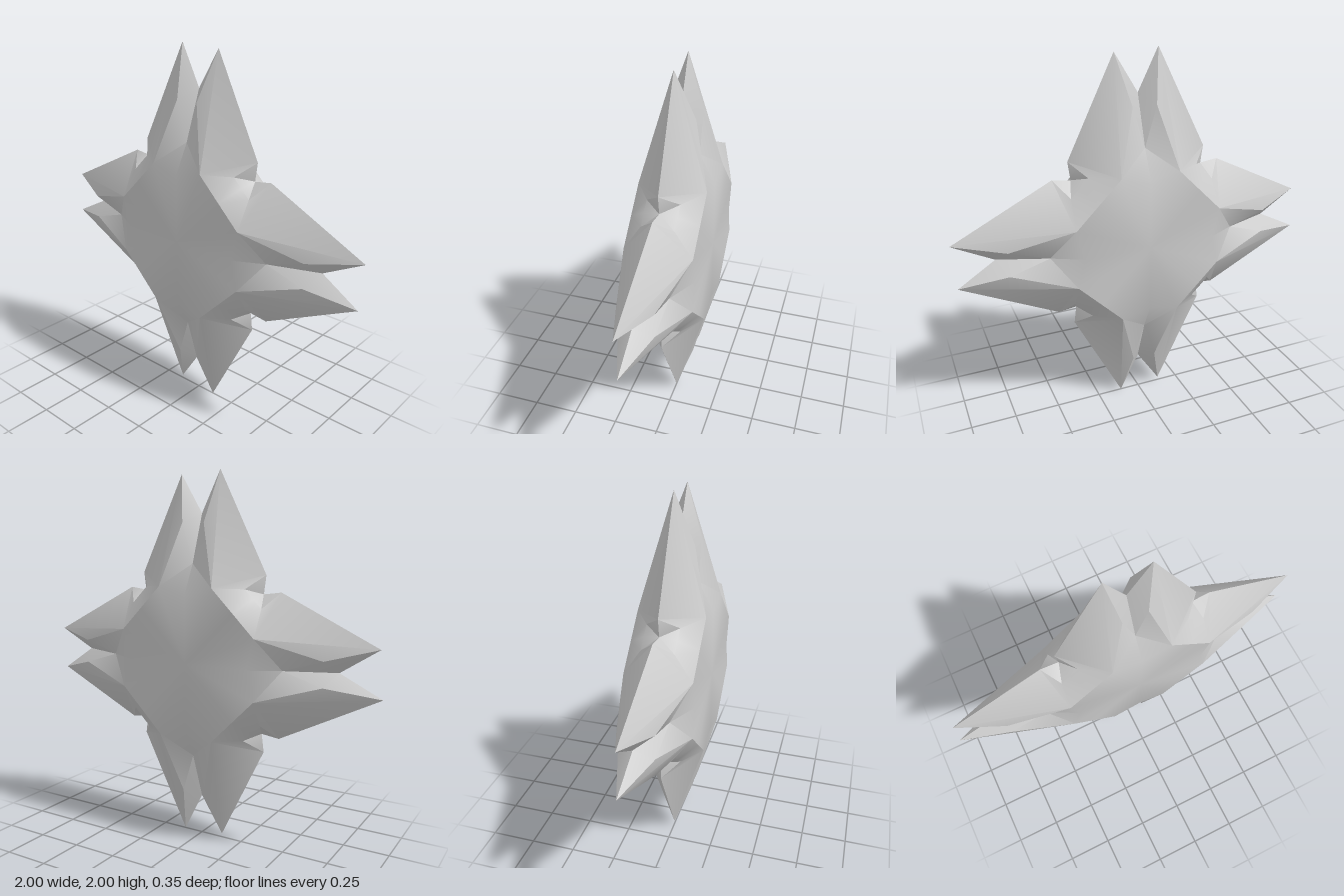
import * as THREE from 'three';
import { toCreasedNormals } from 'three/addons/utils/BufferGeometryUtils.js';

// Key points of one half-arm, seen from the disc centre: x outward from the arm's axis, y along it
const P = {
  centre: [0, 0, 0.177],
  capNotch: [0, 0.36, 0.177],      // cap rim on the arm axis
  capCorner: [0.16, 0.4, 0.177],   // where the blade ridge starts
  capSide: [0.28, 0.28, 0.177],    // cap rim on the diagonal
  groove: [0, 0.52, 0.095],        // floor of the split between two blades
  valley: [0, 0.78, 0],
  ridge: [0.065, 0.73, 0.092],
  shoulder: [0.38, 0.465, 0],
  heel: [0.3, 0.395, 0.085],
  diagonal: [0.348, 0.348, 0.085],
  notch: [0.367, 0.367, 0],
};

// Faces of one quarter-thickness half-arm
const FACES = [
  // flat cap
  ['centre', 'capCorner', 'capNotch'], ['centre', 'capSide', 'capCorner'],
  // inner flank and split
  ['capNotch', 'capCorner', 'groove'], ['capCorner', 'ridge', 'groove'],
  ['groove', 'ridge', 'valley'], ['ridge', 'tip', 'valley'],
  // outer flank
  ['capCorner', 'tip', 'ridge'], ['capCorner', 'shoulder', 'tip'], ['capCorner', 'heel', 'shoulder'],
  // notch between arms
  ['heel', 'notch', 'shoulder'], ['capCorner', 'capSide', 'heel'],
  ['capSide', 'diagonal', 'heel'], ['diagonal', 'notch', 'heel'],
];

// Slightly uneven blade tips: [right, left] half of the top, left, bottom and right arms
const TIPS = [
  [[0.125, 0.985], [0.11, 1]],
  [[0.13, 0.98], [0.11, 1]],
  [[0.13, 0.98], [0.11, 1]],
  [[0.13, 0.98], [0.11, 0.995]],
];

export function createModel() {
  const positions = [];
  TIPS.forEach((pair, arm) => {
    const c = Math.cos(arm * Math.PI / 2), s = Math.sin(arm * Math.PI / 2);
    pair.forEach((tip, half) => {
      const points = { ...P, tip: [...tip, 0] };
      const mirror = half ? -1 : 1;
      for (const side of [1, -1]) {
        for (const face of FACES) {
          const order = mirror * side > 0 ? face : [...face].reverse();
          for (const name of order) {
            const [px, y, z] = points[name];
            const x = px * mirror;
            positions.push(x * c - y * s, 1 + x * s + y * c, z * side);
          }
        }
      }
    });
  });

  const geometry = new THREE.BufferGeometry();
  geometry.setAttribute('position', new THREE.Float32BufferAttribute(positions, 3));
  const body = new THREE.Mesh(
    toCreasedNormals(geometry, Math.PI / 6),
    new THREE.MeshStandardMaterial({ color: 0xcccccc })
  );
  body.name = 'bladedStar';

  const group = new THREE.Group();
  group.name = 'throwingStar';
  group.add(body);
  return group;
}
